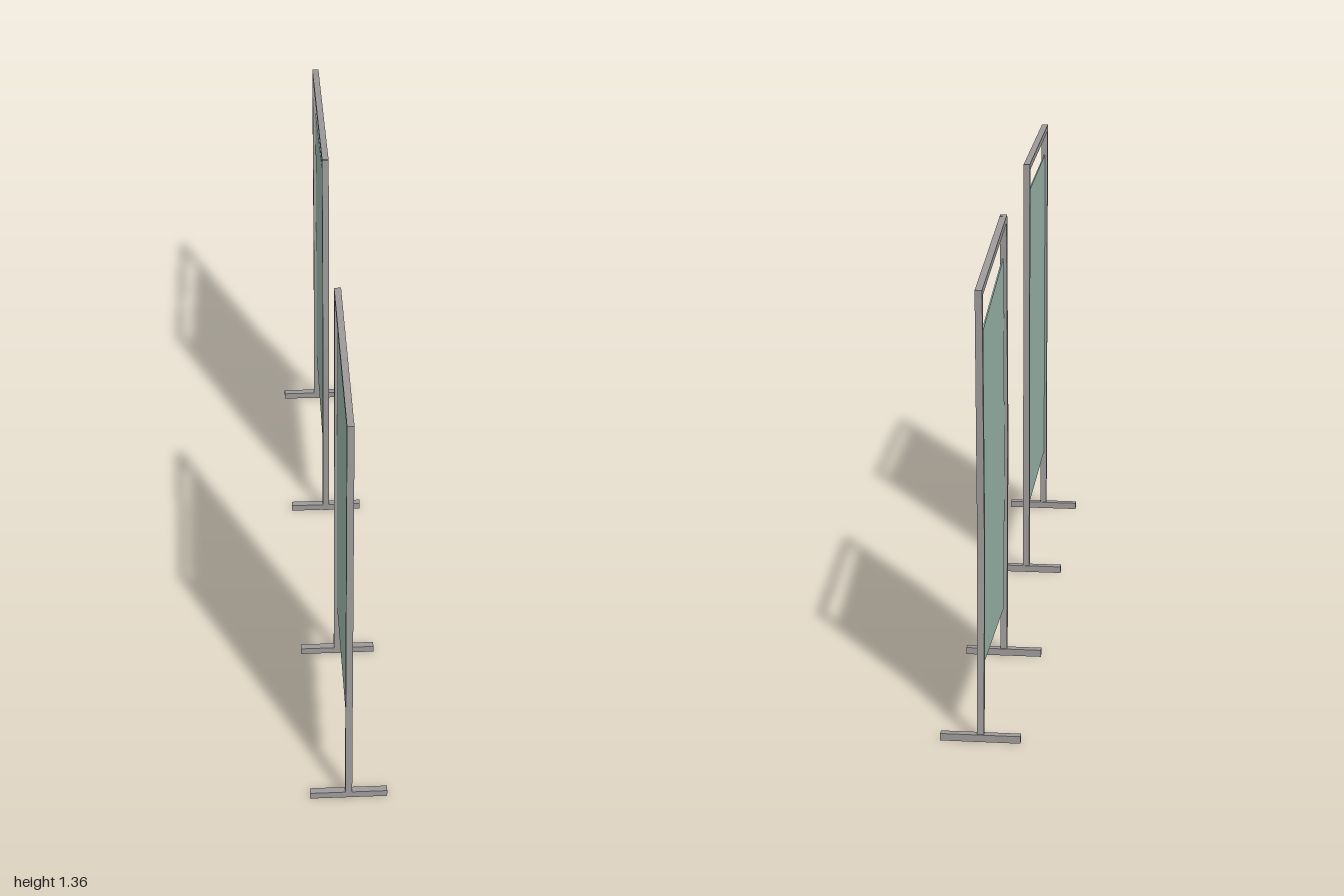
import * as THREE from 'three';

const frameGrey = new THREE.MeshStandardMaterial({ color: 0x9e9a9a });
frameGrey.name = 'frameGrey';
const panelGreen = new THREE.MeshStandardMaterial({ color: 0x9fbbaf });
panelGreen.name = 'panelGreen';

// Flat part drawn as a [z, y] outline and given a thickness along x
function plate(name, outline, thickness, material) {
  const shape = new THREE.Shape(outline.map(([z, y]) => new THREE.Vector2(z, y)));
  const geometry = new THREE.ExtrudeGeometry(shape, { depth: thickness, bevelEnabled: false });
  geometry.translate(0, 0, -thickness / 2).rotateY(-Math.PI / 2);
  const mesh = new THREE.Mesh(geometry, material);
  mesh.name = name;
  return mesh;
}

// Upright of constant width following [z, y] centre points
function post(name, path, width) {
  const h = width / 2;
  const outline = [
    ...path.map(([z, y]) => [z + h, y]),
    ...path.slice().reverse().map(([z, y]) => [z - h, y]),
  ];
  return plate(name, outline, 0.02, frameGrey);
}

function foot(name, z) {
  const mesh = new THREE.Mesh(new THREE.BoxGeometry(0.226, 0.021, 0.021), frameGrey);
  mesh.position.set(0, 0.0105, z);
  mesh.name = name;
  return mesh;
}

export function createModel() {
  const model = new THREE.Group();
  model.name = 'screens';

  // Straight screen
  const straight = new THREE.Group();
  straight.name = 'straightScreen';
  straight.add(
    post('frontPost', [[0.99, 0], [0.99, 1.36]], 0.02),
    post('rearPost', [[0.358, 0], [0.358, 1.36]], 0.021),
    plate('topRail', [[0.98, 1.34], [0.98, 1.36], [0.368, 1.36], [0.368, 1.34]], 0.0196, frameGrey),
    plate('panel', [[0.981, 0.209], [0.981, 1.26], [0.38, 1.26], [0.38, 0.209]], 0.004, panelGreen),
    foot('frontFoot', 0.9895),
    foot('rearFoot', 0.3565),
  );

  // Bent screen with sloping top
  const bent = new THREE.Group();
  bent.name = 'bentScreen';
  bent.add(
    post('frontPost', [[-0.355, 0], [-0.331, 0.58], [-0.329, 0.68], [-0.331, 0.78], [-0.355, 1.36]], 0.021),
    post('rearPost', [[-0.988, 0], [-0.959, 0.46], [-0.957, 0.54], [-0.958, 0.62], [-0.99, 1.306]], 0.02),
    plate('topRail', [[-0.347, 1.34], [-0.347, 1.361], [-0.999, 1.306], [-0.999, 1.286]], 0.0196, frameGrey),
    plate('panel', [
      [-0.375, 1.238], [-0.357, 0.78], [-0.355, 0.68], [-0.357, 0.58], [-0.372, 0.158],
      [-0.95, 0.206], [-0.934, 0.46], [-0.932, 0.54], [-0.933, 0.62], [-0.96, 1.163],
    ], 0.004, panelGreen),
    foot('frontFoot', -0.358),
    foot('rearFoot', -0.9895),
  );

  model.add(straight, bent);
  return model;
}
